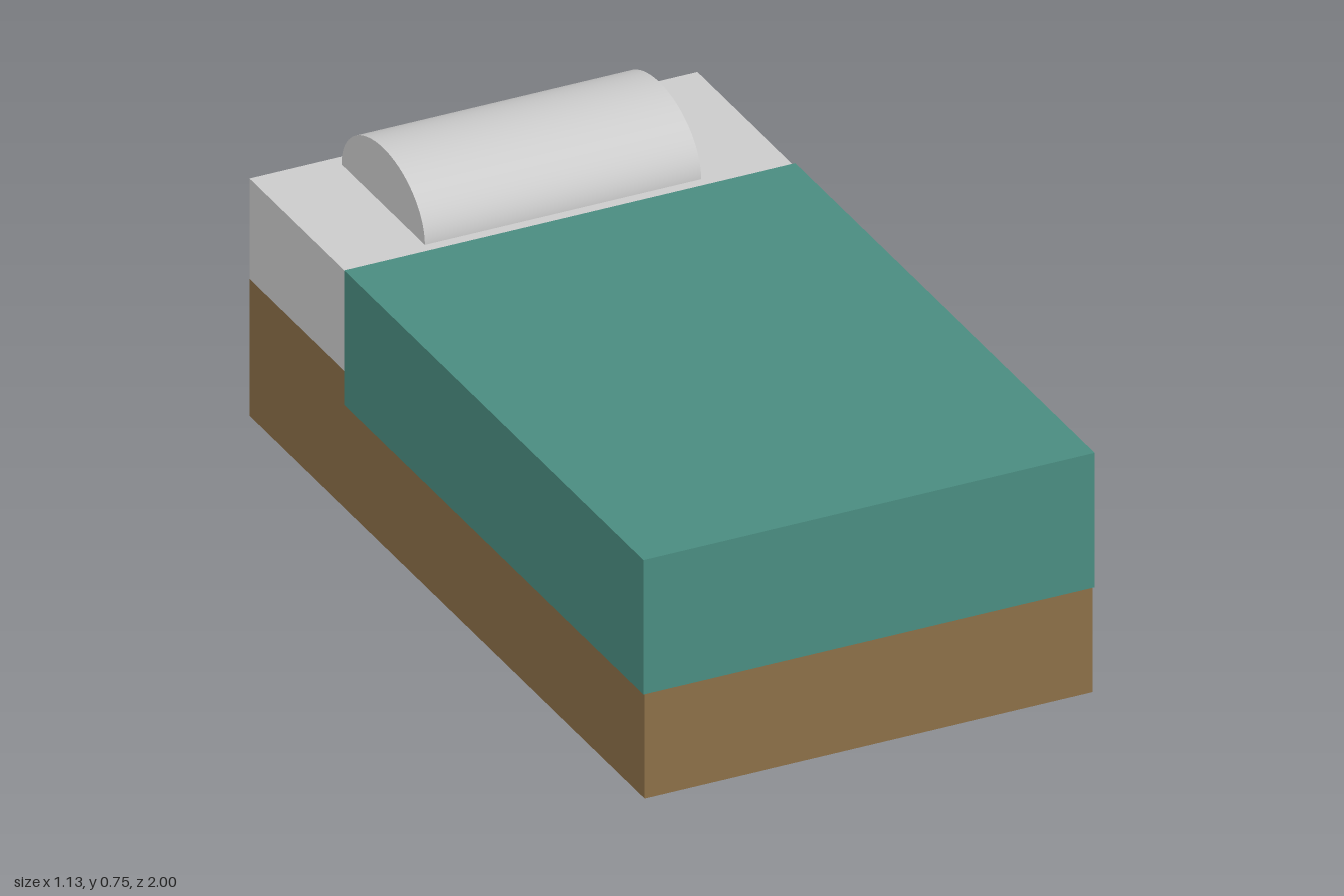
import * as THREE from 'three';

export function createModel() {
  const bed = new THREE.Group();
  bed.name = 'bed';
  const wood = new THREE.MeshStandardMaterial({ color: 0x8b6f47 });
  const cloth = new THREE.MeshStandardMaterial({ color: 0x4a8c80 });
  const linen = new THREE.MeshStandardMaterial({ color: 0xcccccc });

  // Box given by its width and its y and z ranges
  function box(name, material, width, y0, y1, z0, z1) {
    const mesh = new THREE.Mesh(new THREE.BoxGeometry(width, y1 - y0, z1 - z0), material);
    mesh.name = name;
    mesh.position.set(0, (y0 + y1) / 2, (z0 + z1) / 2);
    bed.add(mesh);
  }

  box('base', wood, 1.122, 0, 0.35, -1, 0.998);
  box('mattress', linen, 1.122, 0.35, 0.607, -1, 0.998);
  // Blanket wraps over the mattress and hangs past its lower edge
  box('blanket', cloth, 1.13, 0.268, 0.612, -0.512, 1);

  // Pillow: elliptical bolster, lower half sunk into the mattress
  const bolster = new THREE.CylinderGeometry(1, 1, 0.692, 64);
  bolster.rotateZ(Math.PI / 2);
  bolster.scale(1, 0.145, 0.21);
  const pillow = new THREE.Mesh(bolster, linen);
  pillow.name = 'pillow';
  pillow.position.set(0, 0.607, -0.757);
  bed.add(pillow);

  return bed;
}
